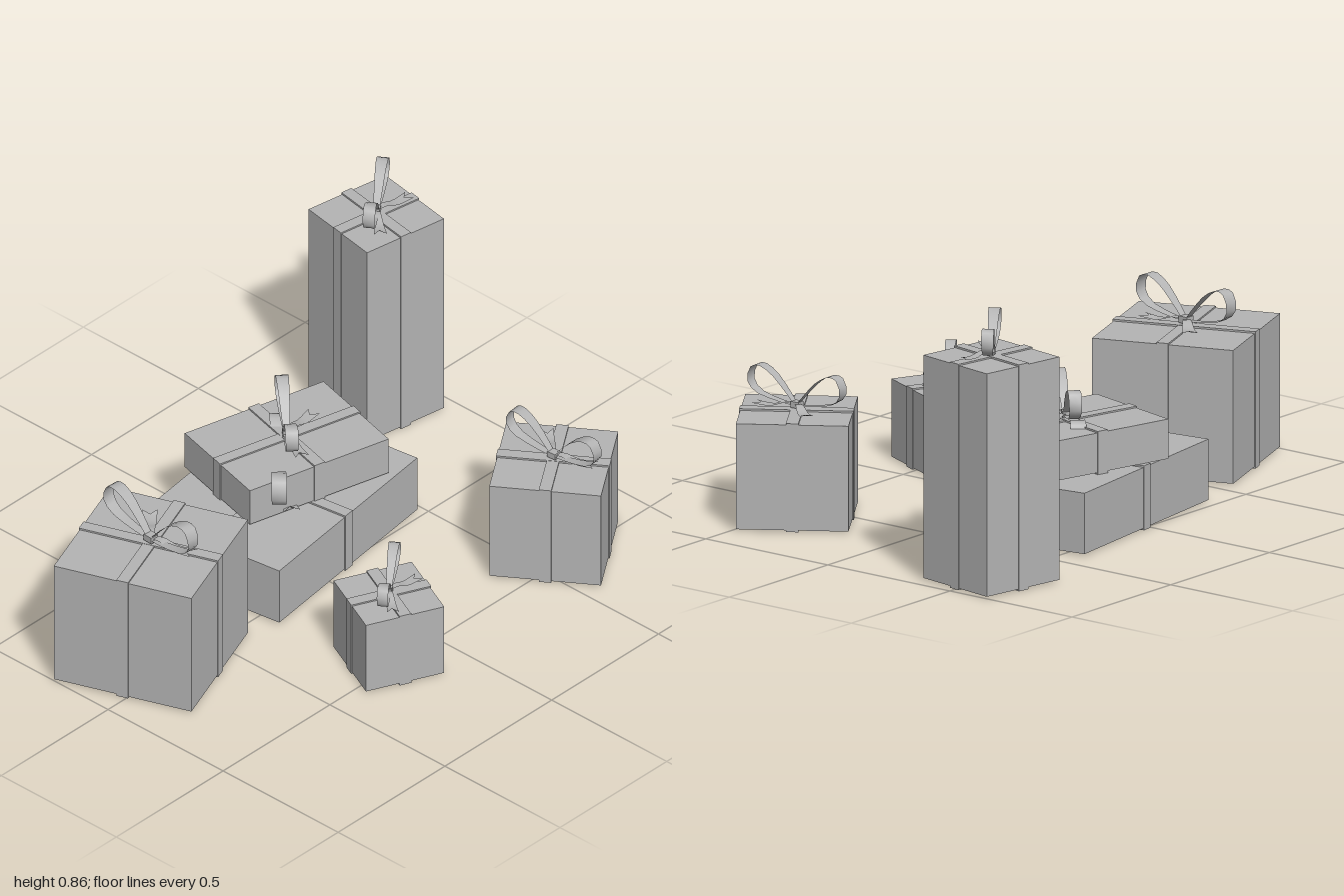
import * as THREE from 'three';

const paper = new THREE.MeshStandardMaterial({ color: 0xb4b4b4, side: THREE.DoubleSide });
paper.name = 'plain grey';

// x, z, width, depth, bottom, top, turn, bow direction (x, z), bow half span
const GIFTS = [
  ['largeCubeGift', -0.695, -0.097, 0.474, 0.474, 0, 0.447, 0.358, 4, -73, 0.195],
  ['wideFlatGift', 0.06, -0.245, 0.766, 0.546, 0, 0.208, 0.137, 28, -27, 0.21],
  ['stackedFlatGift', 0.138, -0.28, 0.527, 0.381, 0.208, 0.346, -0.246, 43, -49, 0.177],
  ['tallGift', 0.82, -0.524, 0.309, 0.305, 0, 0.743, -0.165, 51, -35, 0.165],
  ['smallCubeGift', -0.195, 0.473, 0.27, 0.27, 0, 0.264, -0.428, 46, -32, 0.15],
  ['mediumCubeGift', 0.615, 0.438, 0.362, 0.36, 0, 0.355, 0.596, -6, -66, 0.177],
];

// Ribbon strip along a path in the x-y plane; widthAt(t) gives its width, notch cuts a V in the end
function ribbon(name, points, widthAt, steps, notch = 0) {
  const curve = new THREE.CatmullRomCurve3(points.map(([x, y]) => new THREE.Vector3(x, y, 0)));
  const pos = [], index = [];
  for (let i = 0; i <= steps; i++) {
    const p = curve.getPoint(i / steps), w = widthAt(i / steps) / 2;
    for (const s of [-1, 0, 1]) {
      pos.push(p.x - (i === steps && s === 0 ? notch : 0), p.y, s * w);
    }
    if (i === steps) break;
    for (let k = 0; k < 2; k++) {
      const a = i * 3 + k;
      index.push(a, a + 1, a + 3, a + 1, a + 4, a + 3);
    }
  }
  const geo = new THREE.BufferGeometry();
  geo.setAttribute('position', new THREE.Float32BufferAttribute(pos, 3));
  geo.setIndex(index);
  geo.computeVertexNormals();
  const mesh = new THREE.Mesh(geo, paper);
  mesh.name = name;
  return mesh;
}

function box(name, w, h, d, y) {
  const mesh = new THREE.Mesh(new THREE.BoxGeometry(w, h, d), paper);
  mesh.position.y = y;
  mesh.name = name;
  return mesh;
}

// Bow of unit half span 0.19: two loops, a knot and two notched tails
function makeBow() {
  const bow = new THREE.Group();
  bow.name = 'bow';
  const loop = [[0.01, 0.028], [0.05, 0.075], [0.1, 0.122], [0.145, 0.142], [0.175, 0.134],
    [0.19, 0.085], [0.165, 0.05], [0.09, 0.028], [0.01, 0.018]];
  for (const turn of [0, Math.PI]) {
    const part = ribbon('bowLoop', loop, t => 0.024 + 0.022 * Math.sin(Math.PI * t), 14);
    part.rotation.y = turn;
    bow.add(part);
  }
  const tail = [[0, 0.022], [0.04, 0.026], [0.09, 0.012], [0.155, 0.018]];
  for (const turn of [-0.75, Math.PI + 0.25]) {
    const part = ribbon('bowTail', tail, t => 0.018 + 0.03 * t, 8, 0.025);
    part.rotation.y = turn;
    bow.add(part);
  }
  bow.add(box('knot', 0.034, 0.022, 0.03, 0.021));
  return bow;
}

export function createModel() {
  const model = new THREE.Group();
  model.name = 'giftPile';
  for (const [name, x, z, w, d, y0, y1, turn, ux, uz, span] of GIFTS) {
    const gift = new THREE.Group();
    gift.name = name;
    gift.position.set(x, 0, z);

    // Wrapped box with two crossing ribbons standing slightly proud
    const wrap = new THREE.Group();
    wrap.name = 'wrappedBox';
    wrap.rotation.y = turn;
    const bottom = y0 + 0.007, mid = (bottom + y1) / 2, h = y1 - bottom;
    wrap.add(box('boxBody', w, h, d, mid));
    wrap.add(box('ribbonAcross', w + 0.006, h + 0.01, 0.04, mid));
    wrap.add(box('ribbonAlong', 0.04, h + 0.012, d + 0.006, mid));
    gift.add(wrap);

    const bow = makeBow();
    bow.position.y = y1;
    bow.rotation.y = Math.atan2(-uz, ux);
    bow.scale.setScalar(span / 0.19);
    gift.add(bow);
    model.add(gift);
  }
  return model;
}
